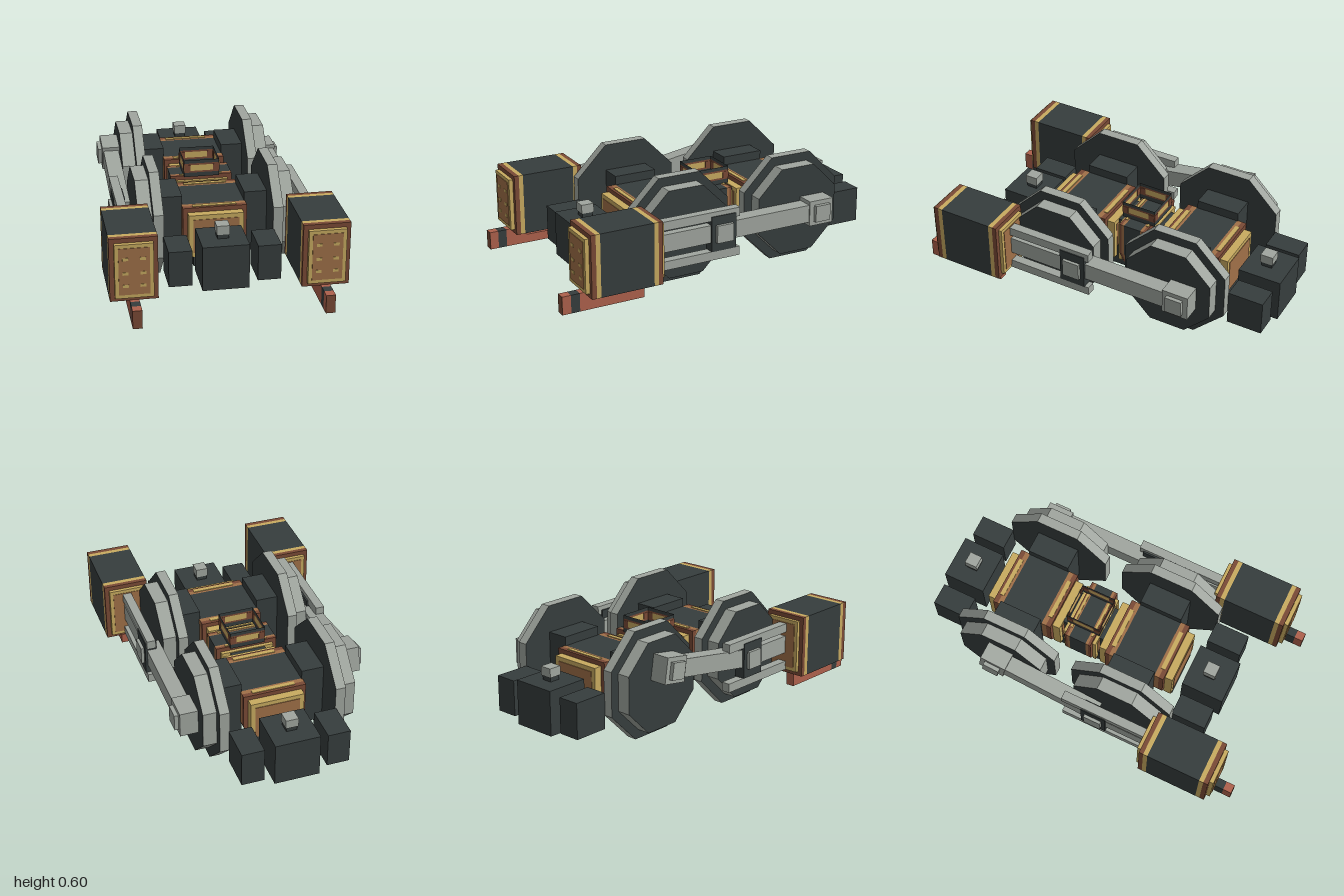
import * as THREE from 'three';

const paint = (name, color) => {
  const m = new THREE.MeshStandardMaterial({ color });
  m.name = name;
  return m;
};

export function createModel() {
  const root = new THREE.Group();
  root.name = 'wheeledUndercarriage';
  const dark = paint('darkIron', 0x363d3d);
  const grey = paint('paleSteel', 0xa0a69f);
  const brown = paint('darkCopper', 0x7a4a36);
  const tan = paint('copperPanel', 0xa07048);
  const gold = paint('brass', 0xc8ab60);
  const red = paint('redCopper', 0xae614c);
  const duct = paint('brassLining', 0xc8ab60);
  const ductEdge = paint('ductEdge', 0x7a4a36);
  const ductRim = paint('ductRim', 0x363d3d);
  for (const m of [duct, ductEdge, ductRim]) m.side = THREE.DoubleSide;

  const add = (name, geo, mat, parent = root) => {
    const mesh = new THREE.Mesh(geo, mat);
    mesh.name = name;
    parent.add(mesh);
    return mesh;
  };
  // Box given by its limits on each axis
  const box = (name, x0, x1, y0, y1, z0, z1, mat, parent = root) => {
    const g = new THREE.BoxGeometry(Math.abs(x1 - x0), y1 - y0, z1 - z0);
    g.translate((x0 + x1) / 2, (y0 + y1) / 2, (z0 + z1) / 2);
    return add(name, g, mat, parent);
  };
  // Prism along z from a cross-section
  const prism = (name, points, z0, z1, mat) => {
    const shape = new THREE.Shape(points.map(p => new THREE.Vector2(...p)));
    const g = new THREE.ExtrudeGeometry(shape, { depth: z1 - z0, bevelEnabled: false });
    return add(name, g.translate(0, 0, z0), mat);
  };
  // Octagonal disc across x, grey rim and dark faces
  const disc = (name, apothem, x, width, z) => {
    const r = apothem / Math.cos(Math.PI / 8);
    let g = new THREE.CylinderGeometry(r, r, width, 8);
    g.rotateY(Math.PI / 8);
    g.rotateZ(Math.PI / 2);
    g = g.toNonIndexed();
    g.computeVertexNormals();
    add(name, g.translate(x, 0.3, z), [grey, dark, dark]);
  };

  // Wheels and axle housings
  for (const z of [0.225, -0.48]) {
    for (const s of [-1, 1]) {
      disc('wheelFlange', 0.3, s * 0.3225, 0.055, z);
      disc('wheelTread', 0.25, s * 0.3875, 0.075, z);
      box('axleHousing', s * 0.17, s * 0.298, 0.1, 0.45, z - 0.125, z + 0.125, dark);
    }
  }

  // Central copper casings with banded ends
  const casing = [[-0.175, 0.4], [-0.175, 0.2], [-0.125, 0.1], [0.125, 0.1], [0.175, 0.2], [0.175, 0.4]];
  for (const [z, half, core] of [[0.225, 0.225, 0.125], [-0.125, 0.1, 0.05], [-0.475, 0.225, 0.125]]) {
    const lip = half - (half > 0.2 ? 0.045 : 0.02);
    const mid = (core + lip) / 2;
    prism('casingCore', casing, z - core, z + core, dark);
    for (const s of [-1, 1]) {
      const slice = (name, a, b, mat) =>
        prism(name, casing, z + Math.min(s * a, s * b), z + Math.max(s * a, s * b), mat);
      slice('casingCopperBand', core, mid, tan);
      slice('casingLip', mid, lip, brown);
      const a = z + s * lip, b = z + s * half;
      box('casingEndPlate', -0.15, 0.15, 0.13, 0.375, Math.min(a, b), Math.max(a, b), gold);
      box('casingEndPanel', -0.125, 0.125, 0.155, 0.35, b - 0.003, b + 0.003, tan);
    }
    // Brass inlays on the casing top
    for (const s of [-1, 1]) {
      const c = z + s * mid, h = (lip - core) * 0.22;
      box('casingTopInlay', -0.12, 0.12, 0.398, 0.404, c - h, c + h, gold);
    }
  }
  box('lowerSpine', -0.125, 0.125, 0.075, 0.2, -0.7, 0.45, dark);
  box('innerSpine', -0.1, 0.1, 0.15, 0.37, -0.69, 0.44, dark);

  // Open square duct on the middle casing
  const wallBands = [[0.4, 0.425, ductRim], [0.425, 0.435, ductEdge], [0.435, 0.47, duct], [0.47, 0.48, ductEdge], [0.48, 0.5, ductRim]];
  for (let i = 0; i < 4; i++) {
    for (const [y0, y1, mat] of wallBands) {
      const g = new THREE.PlaneGeometry(0.2, y1 - y0);
      g.translate(0, (y0 + y1) / 2, 0.1);
      g.rotateY(i * Math.PI / 2);
      add('ductWall', g.translate(0, 0, -0.125), mat);
    }
    // Copper corners
    for (const e of [-1, 1]) {
      const g = new THREE.BoxGeometry(0.035, 0.037, 0.004);
      g.translate(e * 0.082, 0.4525, 0.1).rotateY(i * Math.PI / 2);
      add('ductCorner', g.translate(0, 0, -0.125), brown);
    }
  }

  // Sand boxes at both ends with filler caps and side blocks
  for (const [z0, z1, b0, b1, n] of [[0.5, 0.745, 0.52, 0.72, 0.62], [-1, -0.755, -0.98, -0.78, -0.875]]) {
    box('endBox', -0.125, 0.125, 0.075, 0.325, z0, z1, dark);
    box('fillerNeck', -0.03, 0.03, 0.325, 0.35, n - 0.03, n + 0.03, dark);
    box('fillerCap', -0.035, 0.035, 0.35, 0.4, n - 0.036, n + 0.036, grey);
    for (const s of [-1, 1]) box('endSideBlock', s * 0.175, s * 0.3, 0.1, 0.3, b0, b1, dark);
  }

  for (const s of [-1, 1]) {
    // Cylinder block with copper and brass bands
    const block = (name, inset, z0, z1, mat) =>
      box(name, s * (0.375 + inset), s * (0.625 - inset), 0.125 + inset, 0.475 - inset, z0, z1, mat);
    block('cylinderBody', 0, 0.52, 0.825, dark);
    for (const [a, b] of [[0.825, 0.85], [0.495, 0.52]]) block('cylinderBrassBand', 0, a, b, gold);
    for (const [a, b] of [[0.85, 0.877], [0.47, 0.495]]) block('cylinderCopperLip', 0, a, b, brown);
    for (const [a, b] of [[0.877, 0.9], [0.45, 0.47]]) block('cylinderEndPlate', 0.025, a, b, gold);
    for (const z of [0.45, 0.9]) block('cylinderEndPanel', 0.045, z - 0.003, z + 0.003, tan);
    for (const y of [0.22, 0.29, 0.37]) {
      for (const e of [-1, 1]) {
        const x = s * 0.5 + e * 0.045;
        box('panelFleck', x - 0.015, x + 0.015, y - 0.008, y + 0.008, 0.902, 0.905, gold);
      }
    }

    // Drain pipe under the cylinder
    const pipe = (name, y0, y1, z0, z1, mat) => box(name, s * 0.475, s * 0.525, y0, y1, z0, z1, mat);
    pipe('drainPipe', 0.025, 0.075, 0.58, 0.78, red);
    pipe('drainPipeRear', 0.025, 0.127, 0.53, 0.58, red);
    pipe('drainPipeFront', 0.025, 0.127, 0.78, 0.9, red);
    pipe('drainPipeCollar', 0.025, 0.127, 0.9, 0.95, dark);
    pipe('drainPipeNozzle', 0.025, 0.127, 0.95, 0.996, red);
    pipe('drainPipeEnd', 0.025, 0.127, 0.996, 1, brown);

    // Slide bars, piston rod and crosshead
    const headZ = s > 0 ? 0.05 : 0.145;
    for (const y of [0.175, 0.4]) box('slideBar', s * 0.475, s * 0.525, y - 0.025, y + 0.025, -0.05, 0.45, grey);
    box('pistonRod', s * 0.475, s * 0.52, 0.25, 0.35, headZ, 0.45, grey);
    box('crossheadBracket', s * 0.465, s * 0.53, 0.2, 0.4, headZ - 0.075, headZ + 0.075, dark);
    box('crossheadPin', s * 0.53, s * 0.547, 0.25, 0.35, headZ - 0.05, headZ + 0.05, grey);

    // Connecting rod, a quarter turn apart on the two sides
    const crankZ = s > 0 ? -0.575 : -0.48, crankY = s > 0 ? 0.3 : 0.4;
    const length = Math.hypot(headZ - crankZ, crankY - 0.3);
    const rod = new THREE.Group();
    rod.name = 'connectingRod';
    rod.position.set(0, crankY, crankZ);
    rod.rotation.x = Math.atan2(crankY - 0.3, headZ - crankZ);
    root.add(rod);
    box('rodBar', s * 0.43, s * 0.518, -0.05, 0.05, 0, length, grey, rod);
    box('rodEnd', s * 0.425, s * 0.525, -0.072, 0.072, -0.075, 0.075, grey, rod);
    box('crankPin', s * 0.525, s * 0.547, -0.047, 0.047, -0.047, 0.047, grey, rod);
  }
  return root;
}
